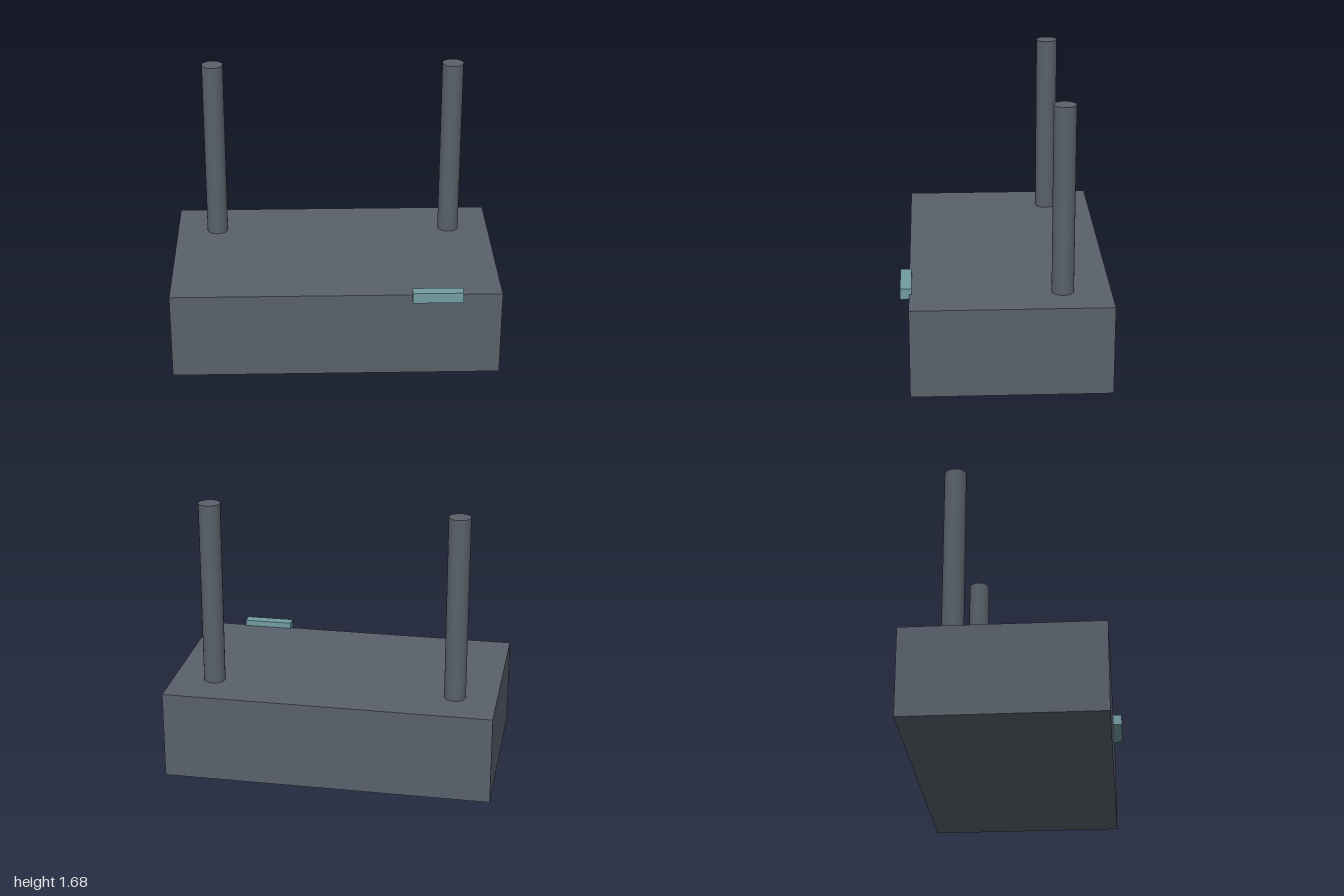
import * as THREE from 'three';

export function createModel() {
  const casing = new THREE.MeshStandardMaterial({ name: 'slate grey', color: 0x59616b });
  const teal = new THREE.MeshStandardMaterial({ name: 'muted teal', color: 0x719ca1 });
  const model = new THREE.Group();
  model.name = 'router';

  const add = (name, geometry, material, x, y, z) => {
    const mesh = new THREE.Mesh(geometry, material);
    mesh.name = name;
    mesh.position.set(x, y, z);
    model.add(mesh);
  };

  // Main box
  add('body', new THREE.BoxGeometry(2, 0.543, 1.184), casing, 0, 0.2715, -0.026);

  // Two upright antennas near the back, sunk slightly into the body
  for (const [name, side] of [['leftAntenna', 1], ['rightAntenna', -1]]) {
    add(name, new THREE.CylinderGeometry(0.066, 0.066, 1.16, 24), casing, side * 0.745, 1.1, -0.333);
  }

  // Small indicator bar on the top front edge
  add('indicator', new THREE.BoxGeometry(0.304, 0.066, 0.066), teal, 0.608, 0.547, 0.585);

  return model;
}
